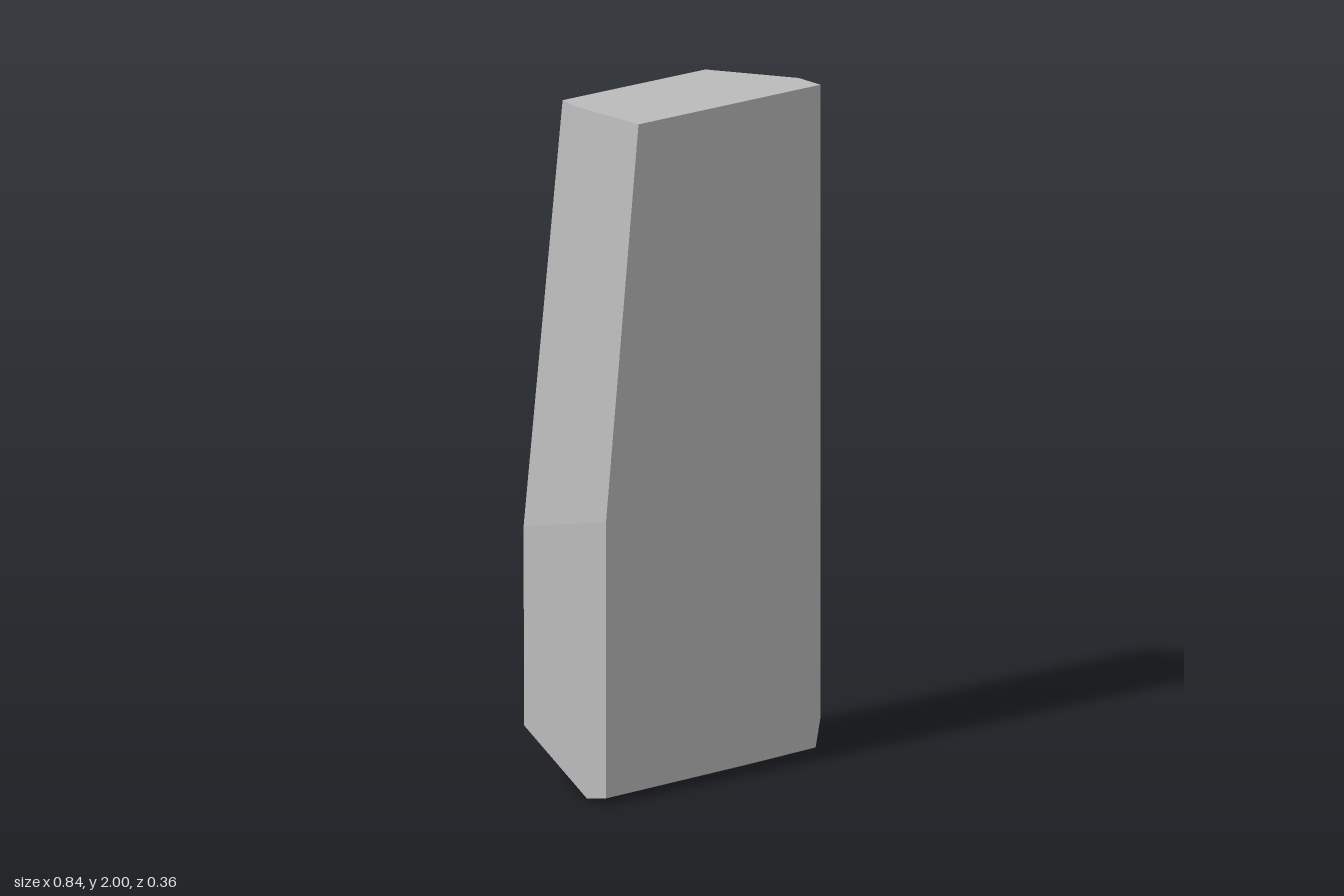
import * as THREE from 'three';
import { ConvexGeometry } from 'three/addons/geometries/ConvexGeometry.js';

export function createModel() {
  const stone = new THREE.MeshStandardMaterial({ color: 0xbababa });
  stone.name = 'grey stone';

  // corners of the hewn slab, ring by ring
  const top = [
    [-0.295, 2, 0.178], [-0.29, 2, -0.11], [-0.27, 2, -0.18],
    [0.277, 2, -0.178], [0.412, 2, 0.075], [0.406, 2, 0.176],
  ];
  // bend where the left side starts to lean inwards
  const bend = [[-0.42, 0.84, 0.178], [-0.42, 0.76, -0.18]];
  // chipped corners above the foot
  const chips = [
    [0.405, 0.12, 0.177], [0.42, 0.2, 0.105], [0.392, 0.145, 0.04],
    [0.277, 0.26, -0.168], [0.2, 0.17, -0.165], [-0.42, 0.17, -0.178],
  ];
  // foot with a low ridge near the front
  const foot = [
    [-0.42, 0.02, 0.178], [0.39, 0.035, 0.173], [0.34, 0.02, 0.12],
    [0.32, 0.05, 0.065], [0.22, 0, 0.09], [-0.42, 0.004, 0.095],
  ];

  const corners = [...top, ...bend, ...chips, ...foot].map((p) => new THREE.Vector3(...p));
  const slab = new THREE.Mesh(new ConvexGeometry(corners), stone);
  slab.name = 'stoneSlab';

  const model = new THREE.Group();
  model.name = 'standingStone';
  model.add(slab);
  return model;
}
